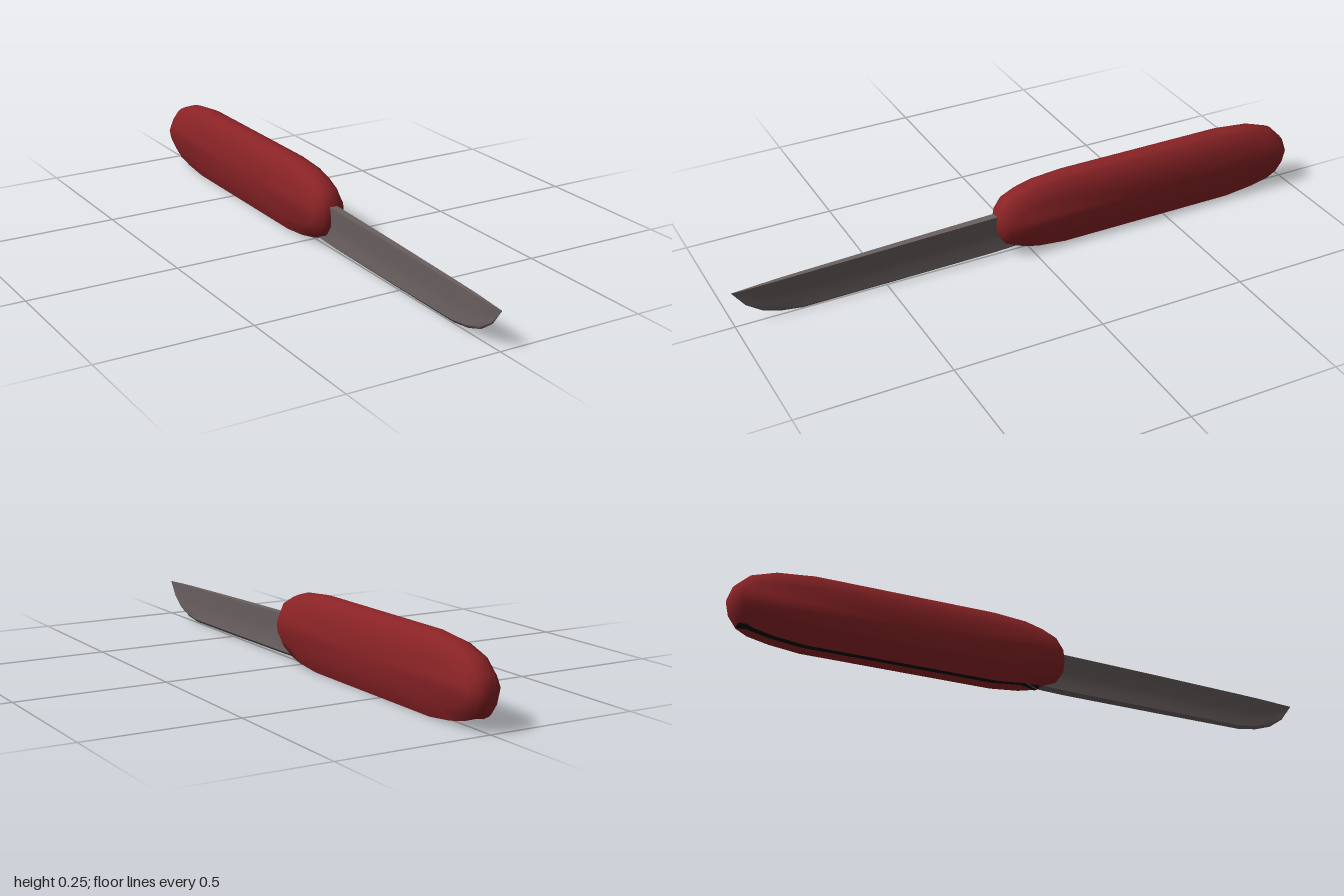
import * as THREE from 'three';
import { toCreasedNormals } from 'three/addons/utils/BufferGeometryUtils.js';

const red = new THREE.MeshStandardMaterial({ color: 0x8a2326 });
red.name = 'red handle';
const steel = new THREE.MeshStandardMaterial({ color: 0x6a6060 });
steel.name = 'grey steel';
const black = new THREE.MeshStandardMaterial({ color: 0x050505 });
black.name = 'black slot';

function makeMesh(name, positions, index, material, crease) {
  const geometry = new THREE.BufferGeometry();
  geometry.setAttribute('position', new THREE.Float32BufferAttribute(positions, 3));
  geometry.setIndex(index);
  const mesh = new THREE.Mesh(toCreasedNormals(geometry, crease), material);
  mesh.name = name;
  return mesh;
}

// Handle: a rounded side outline repeated across the width, with a groove below
function createHandle() {
  const cy = 0.121, cz = -0.44;
  // [z, y], from the front over the top to the back, then along the bottom
  const outline = [
    [0.12, 0.121], [0.115, 0.16], [0.09, 0.2], [0.04, 0.225], [-0.02, 0.242], [-0.13, 0.252],
    [-0.3, 0.252], [-0.5, 0.252], [-0.74, 0.252], [-0.86, 0.238], [-0.94, 0.21], [-0.985, 0.165],
    [-1, 0.121], [-0.99, 0.075], [-0.965, 0.038], [-0.93, 0.018], [-0.86, 0.002], [-0.76, -0.01],
    [-0.5, -0.01], [-0.3, -0.01], [-0.12, -0.01], [-0.02, 0.001], [0.03, 0.014], [0.09, 0.042], [0.115, 0.08],
  ];
  const grooveStart = 14, grooveEnd = 22;
  // [x, height scale, length scale, groove depth]
  const half = [[0.056, 0.52, 0.94, 0], [0.033, 0.91, 0.985, 0], [0.02, 0.96, 0.995, 0.022], [0, 1, 1, 0.034]];
  const levels = [
    ...half.map(([x, ...rest]) => [-x, ...rest]),
    ...half.slice(0, 3).reverse(),
  ];
  const n = outline.length, m = levels.length;
  const positions = [], shell = [], slot = [];
  outline.forEach(([z, y], i) => {
    const inGroove = i > grooveStart && i < grooveEnd;
    for (const [x, sy, sz, depth] of levels) {
      positions.push(x, cy + (y - cy) * sy + (inGroove ? depth : 0), cz + (z - cz) * sz);
    }
  });
  positions.push(-0.056, cy, cz, 0.056, cy, cz);
  for (let i = 0; i < n; i++) {
    const k = (i + 1) % n;
    for (let j = 0; j < m - 1; j++) {
      const a = i * m + j, b = k * m + j;
      const target = i >= grooveStart && i < grooveEnd && (j === 2 || j === 3) ? slot : shell;
      target.push(a, b + 1, b, a, a + 1, b + 1);
    }
    // flat sides
    shell.push(n * m, i * m, k * m, n * m + 1, k * m + m - 1, i * m + m - 1);
  }
  const group = new THREE.Group();
  group.name = 'handle';
  group.add(makeMesh('handleShell', positions, shell, red, 1.1));
  group.add(makeMesh('bladeSlot', positions, slot, black, 0.6));
  return group;
}

// Blade: a hollow-ground section lofted from the handle to the tip
function createBlade() {
  // [z, spine y, edge y, half width]
  const stations = [
    [-0.03, 0.152, 0.035, 0.013], [0.02, 0.151, 0.014, 0.013], [0.12, 0.149, 0.01, 0.013],
    [0.45, 0.141, 0.007, 0.011], [0.78, 0.132, 0.005, 0.008], [0.85, 0.13, 0.015, 0.007],
    [0.91, 0.128, 0.035, 0.005], [0.96, 0.126, 0.07, 0.003], [1, 0.125, 0.124, 0.0005],
  ];
  // [width factor, height factor] down one side
  const side = [[1, 1], [0.95, 0.86], [0.62, 0.55], [0.7, 0.3], [1, 0.08], [0, 0]];
  const section = [...side, ...side.slice(0, -1).reverse().map(([w, h]) => [-w, h])];
  const m = section.length;
  const positions = [], index = [];
  for (const [z, top, bottom, width] of stations) {
    for (const [w, h] of section) positions.push(w * width, bottom + (top - bottom) * h, z);
  }
  for (let i = 0; i < stations.length - 1; i++) {
    for (let j = 0; j < m; j++) {
      const a = i * m + j, b = i * m + (j + 1) % m;
      index.push(a, a + m, b + m, a, b + m, b);
    }
  }
  return makeMesh('blade', positions, index, steel, 0.7);
}

export function createModel() {
  const model = new THREE.Group();
  model.name = 'pocketKnife';
  model.add(createHandle(), createBlade());
  return model;
}
